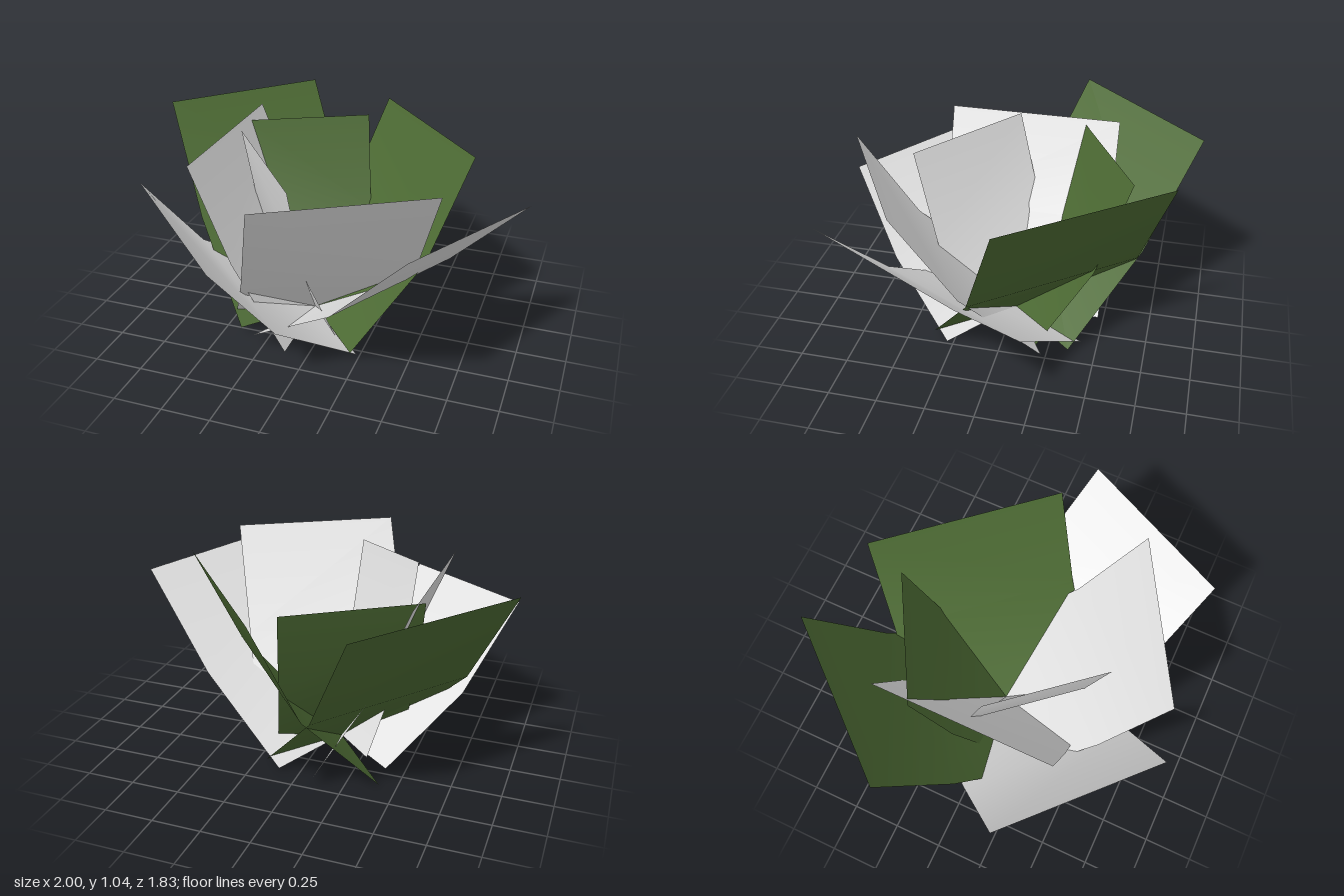
import * as THREE from 'three';

// All leaves share one root point
const ROOT = new THREE.Vector3(-0.1, 0.045, -0.02);

// A wide leaf folded once: root -> bend -> tip, with a constant half-width vector
function makeLeaf(name, material, bend, tip, half) {
  const side = new THREE.Vector3(...half);
  const spine = [ROOT, new THREE.Vector3(...bend), new THREE.Vector3(...tip)];
  const positions = [];
  for (const p of spine) {
    for (const s of [-1, 1]) {
      const v = p.clone().addScaledVector(side, s);
      positions.push(v.x, v.y, v.z);
    }
  }
  const index = [];
  for (let i = 0; i < spine.length - 1; i++) {
    const a = i * 2;
    index.push(a, a + 1, a + 2, a + 1, a + 3, a + 2);
  }
  const geometry = new THREE.BufferGeometry();
  geometry.setAttribute('position', new THREE.Float32BufferAttribute(positions, 3));
  geometry.setIndex(index);
  geometry.computeVertexNormals();
  const mesh = new THREE.Mesh(geometry, material);
  mesh.name = name;
  return mesh;
}

export function createModel() {
  const paleLeaf = new THREE.MeshStandardMaterial({ color: 0xe6e6e6, side: THREE.DoubleSide });
  paleLeaf.name = 'paleLeaf';
  const greenLeaf = new THREE.MeshStandardMaterial({ color: 0x4d6b34, side: THREE.DoubleSide });
  greenLeaf.name = 'greenLeaf';

  // name, material, bend point, tip midpoint, half-width vector
  const leaves = [
    // pale leaves at the front and right
    ['frontRightLeaf', paleLeaf, [-0.39, 0.34, 0.345], [-0.595, 0.765, 0.6], [0.333, -0.04, 0.305]],
    ['frontLeftLeaf', paleLeaf, [0.39, 0.398, 0.205], [0.8, 0.8625, 0.395], [0.2, -0.018, -0.395]],
    ['frontLeaf', paleLeaf, [0.115, 0.49, 0.354], [0.275, 1.01, 0.615], [0.375, 0, -0.215]],
    ['innerLeaf', paleLeaf, [-0.22, 0.515, 0.158], [-0.2525, 1.008, 0.272], [0.2125, -0.0375, 0.2325]],
    ['rightLeaf', paleLeaf, [-0.37, 0.505, -0.017], [-0.57, 1.0, -0.017], [0, 0, 0.457]],
    // green leaves at the back
    ['backLeftLeaf', greenLeaf, [0.2, 0.47, -0.284], [0.38, 1.0, -0.455], [0.32, 0.013, 0.375]],
    ['backRightLeaf', greenLeaf, [-0.455, 0.482, -0.34], [-0.71, 1.028, -0.58], [0.29, -0.012, -0.34]],
    ['backLeaf', greenLeaf, [-0.22, 0.47, -0.29], [-0.29, 0.962, -0.45], [0.295, -0.008, -0.17]],
  ];

  const plant = new THREE.Group();
  plant.name = 'leafCluster';
  for (const leaf of leaves) plant.add(makeLeaf(...leaf));
  return plant;
}
